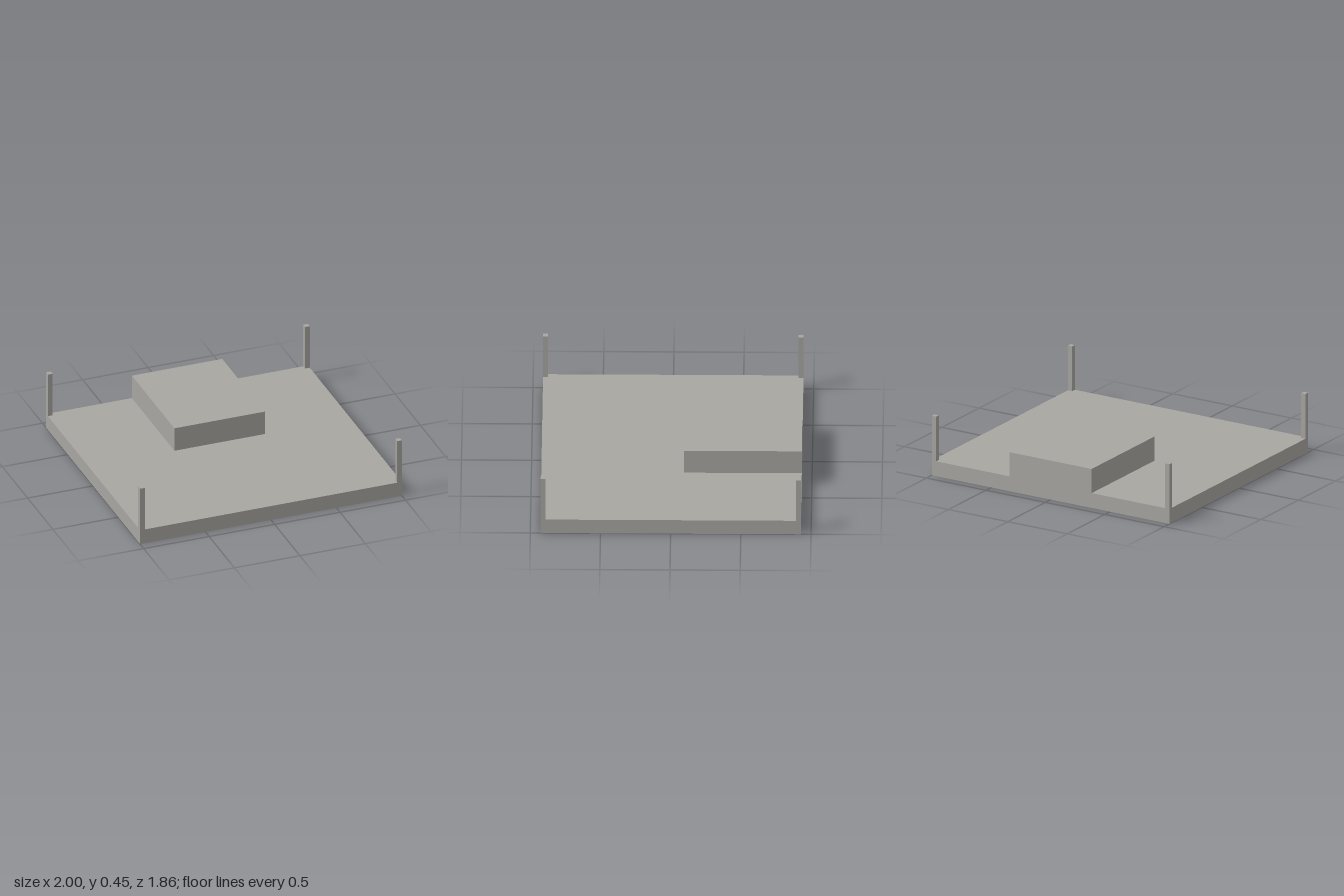
import * as THREE from 'three';

const HALF_W = 1, HALF_D = 0.928;
const SLAB_H = 0.112, BLOCK_TOP = 0.294, POST_TOP = 0.449, POST = 0.036;

export function createModel() {
  const model = new THREE.Group();
  model.name = 'platform';
  const concrete = new THREE.MeshStandardMaterial({ color: 0xa8a6a1 });
  concrete.name = 'warm grey';

  // Box given by its lower and upper corners
  function box(name, [x0, y0, z0], [x1, y1, z1]) {
    const mesh = new THREE.Mesh(new THREE.BoxGeometry(x1 - x0, y1 - y0, z1 - z0), concrete);
    mesh.position.set((x0 + x1) / 2, (y0 + y1) / 2, (z0 + z1) / 2);
    mesh.name = name;
    model.add(mesh);
  }

  // Base slab
  box('slab', [-HALF_W, 0, -HALF_D], [HALF_W, SLAB_H, HALF_D]);

  // Raised block, flush with the back edge
  box('raisedBlock', [-0.345, SLAB_H, -HALF_D], [0.345, BLOCK_TOP, -0.087]);

  // Corner posts
  for (const [side, sx] of [['Left', 1], ['Right', -1]]) {
    for (const [end, sz] of [['front', 1], ['back', -1]]) {
      const x = sx * (HALF_W - POST / 2), z = sz * (HALF_D - POST / 2), h = POST / 2;
      box(`${end}${side}Post`, [x - h, SLAB_H, z - h], [x + h, POST_TOP, z + h]);
    }
  }
  return model;
}
